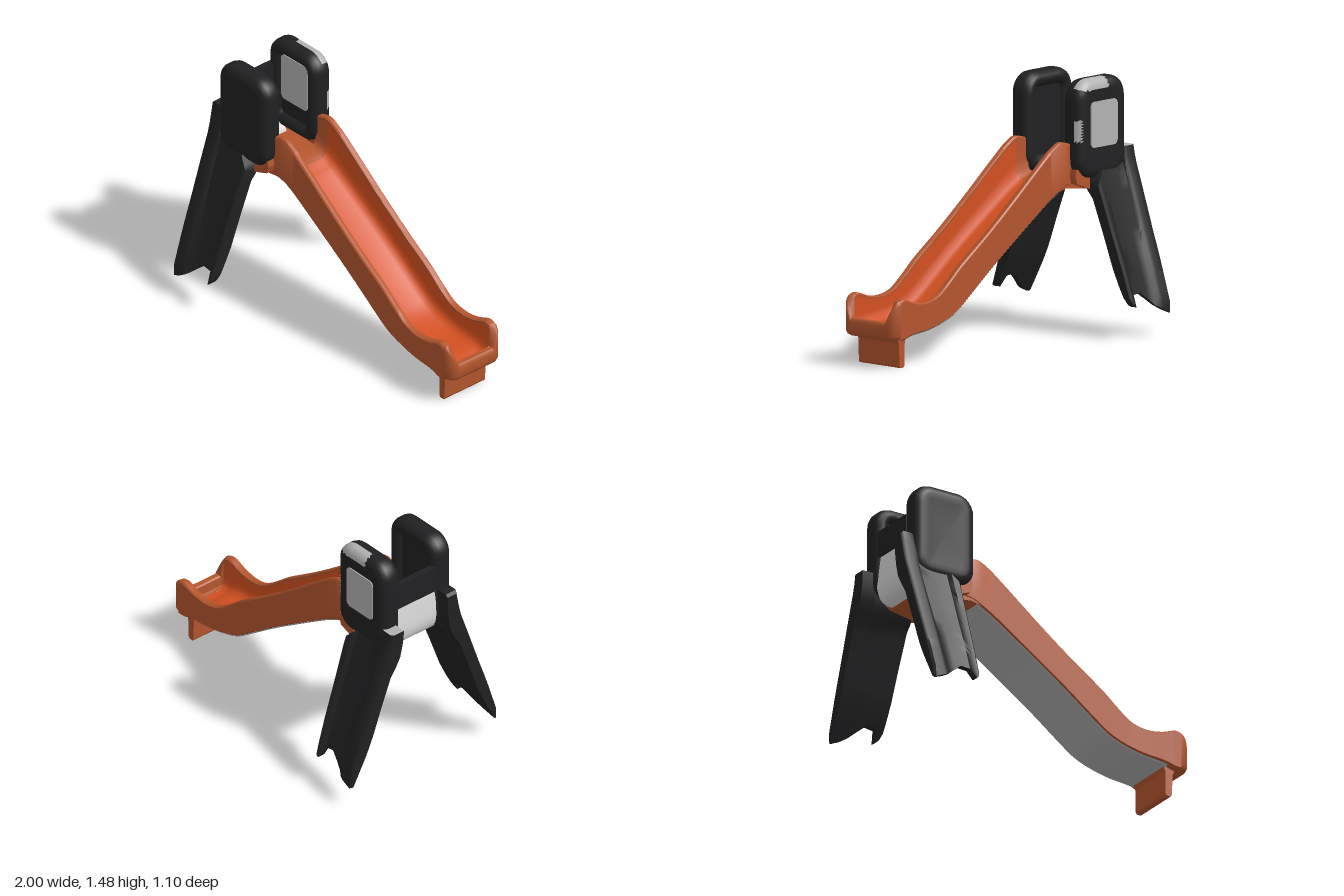
import * as THREE from 'three';
import { toCreasedNormals } from 'three/addons/utils/BufferGeometryUtils.js';

const material = (name, color) => Object.assign(new THREE.MeshStandardMaterial({ color }), { name });

// Skin between rows of [x, y, z] points; keep() may pick faces by their centre.
function surface(rows, flip = false, keep = () => true) {
  const pos = [];
  const add = (a, b, c) => {
    const m = a.map((v, k) => (v + b[k] + c[k]) / 3);
    if (keep(...m)) pos.push(...a, ...(flip ? c : b), ...(flip ? b : c));
  };
  for (let i = 0; i + 1 < rows.length; i++) {
    for (let j = 0; j + 1 < rows[i].length; j++) {
      const a = rows[i][j], b = rows[i][j + 1], c = rows[i + 1][j + 1], d = rows[i + 1][j];
      add(a, b, c);
      add(a, c, d);
    }
  }
  const g = new THREE.BufferGeometry();
  g.setAttribute('position', new THREE.Float32BufferAttribute(pos, 3));
  return toCreasedNormals(g, 0.7);
}

// Linear lookup in a table of [key, value] with rising keys.
function lookup(table, k) {
  let i = 1;
  while (i < table.length - 1 && table[i][0] < k) i++;
  const [[a, u], [b, v]] = [table[i - 1], table[i]];
  return u + (v - u) * THREE.MathUtils.clamp((k - a) / (b - a), 0, 1);
}

const vectors = (pts) => pts.map(([x, y]) => new THREE.Vector2(x, y));
const spline = (pts, n) => new THREE.SplineCurve(vectors(pts)).getPoints(n);

// Side outline extruded across the model from z0 to z1
const slab = (pts, z0, z1) => new THREE.ExtrudeGeometry(new THREE.Shape(vectors(pts)),
  { depth: z1 - z0, bevelEnabled: false }).translate(0, 0, z0);

function roundedRect(x0, y0, x1, y1, r) {
  const s = new THREE.Shape();
  s.moveTo(x0 + r, y0);
  s.lineTo(x1 - r, y0);
  s.absarc(x1 - r, y0 + r, r, -Math.PI / 2, 0);
  s.lineTo(x1, y1 - r);
  s.absarc(x1 - r, y1 - r, r, 0, Math.PI / 2);
  s.lineTo(x0 + r, y1);
  s.absarc(x0 + r, y1 - r, r, Math.PI / 2, Math.PI);
  s.lineTo(x0, y0 + r);
  s.absarc(x0 + r, y0 + r, r, Math.PI, Math.PI * 1.5);
  return s;
}

export function createModel() {
  const black = material('black plastic', 0x212123);
  const orange = material('orange plastic', 0xb4562e);
  const bright = material('bright chute orange', 0xd24f1f);
  const white = material('white panel', 0xdadada);
  const grey = material('grey plastic', 0xb2b2b2);

  const model = new THREE.Group();
  const add = (name, geometry, mat) => {
    const m = new THREE.Mesh(geometry, mat);
    m.name = name;
    model.add(m);
  };

  // Slide: paired top and bottom edge lines, swept as one trough section
  const N = 78;
  const top = spline([[-0.54, 1.11], [-0.45, 1.13], [-0.38, 1.1], [-0.3, 1.045], [0, 0.815],
    [0.2, 0.67], [0.4, 0.535], [0.5, 0.455], [0.6, 0.385], [0.7, 0.36], [0.8, 0.37],
    [0.89, 0.4], [0.93, 0.395]], N);
  const bottom = spline([[-0.54, 0.88], [-0.47, 0.865], [-0.4, 0.83], [-0.32, 0.785], [-0.05, 0.61],
    [0.15, 0.475], [0.35, 0.33], [0.45, 0.265], [0.56, 0.225], [0.68, 0.2], [0.82, 0.187],
    [0.89, 0.168], [0.93, 0.167]], N);
  const halfWidth = [[0.6, 0.19], [0.88, 0.2]];
  const sweep = (section, flip, keep) => surface(top.map((t, i) => {
    const b = bottom[i];
    // v runs from the bottom edge (0) to the top edge (1)
    return section(lookup(halfWidth, t.x), t.y - b.y).map(([z, v, dy = 0]) =>
      [b.x + (t.x - b.x) * v, b.y + (t.y - b.y) * v + dy, z]);
  }), flip, keep);

  for (const s of [1, -1]) {
    add(s > 0 ? 'frontSlideRail' : 'backSlideRail', sweep((w) =>
      [[s * 0.15, 0.9], [s * 0.15, 0.97], [s * 0.158, 1], [s * (w - 0.008), 1],
        [s * w, 0.96], [s * w, 0.04], [s * (w - 0.01), 0], [s * 0.12, 0]], s < 0), orange);
  }
  const trough = (w, h) => {
    const f = 0.04 / h;
    const half = [[0.1, f, -0.01], [0.13, f, 0], [0.146, f, 0.025], [0.15, f + 0.3], [0.15, 0.92]];
    return [...half.map(([z, ...r]) => [-z, ...r]).reverse(), [0, f, -0.014], ...half];
  };
  add('chute', sweep(trough, false, (x) => x > -0.44), bright);
  add('chuteEntry', sweep(trough, false, (x) => x <= -0.44), orange);
  add('slideUnderside', surface(bottom.filter((p) => p.x > -0.46 && p.x < 0.85).map((p) =>
    [[p.x, p.y, 0.182], [p.x, p.y - 0.009, 0.175], [p.x, p.y - 0.009, -0.175], [p.x, p.y, -0.182]])), grey);

  // Lower end: the rail wraps round both corners and drops to a low lip
  const endRows = [];
  for (const s of [1, -1]) {
    for (let i = 0; i <= 12; i++) {
      const a = (s > 0 ? i : 12 - i) / 12 * Math.PI / 2;
      const h = 0.27 + 0.125 * Math.cos(a);
      const at = (r, y) => [0.93 + r * Math.sin(a), y, s * (0.13 + r * Math.cos(a))];
      endRows.push([[0.925, 0.192, 0], at(0.02, 0.205), at(0.02, h - 0.008), at(0.028, h), at(0.058, h),
        at(0.067, h - 0.01), at(0.07, h - 0.025), at(0.07, 0.195), at(0.06, 0.175), at(0.045, 0.167), [0.925, 0.167, 0]]);
    }
  }
  add('endLip', surface(endRows), orange);

  // Foot under the lower end
  add('foot', slab([[0.853, 0.012], [0.86, 0], [0.888, 0], [0.895, 0.012], [0.9, 0.14], [0.915, 0.18],
    [0.835, 0.18], [0.85, 0.15]], -0.155, 0.155), orange);

  // Platform between the tower sides, with ears under them
  add('platform', slab([[-0.83, 0.885], [-0.8, 0.865], [-0.65, 0.84], [-0.49, 0.862], [-0.43, 0.85], [-0.45, 0.888]],
    -0.186, 0.186), orange);
  for (const z of [0.17, -0.235]) {
    add('platformEar', slab([[-0.64, 0.845], [-0.53, 0.885], [-0.515, 0.93], [-0.52, 0.97], [-0.64, 0.95]],
      z, z + 0.065), orange);
  }

  // Bulging white panel and crossbar across the entrance
  add('entrancePanel', toCreasedNormals(slab(spline([[-0.87, 1.17], [-0.86, 1.06], [-0.835, 0.96], [-0.79, 0.885],
    [-0.83, 0.865], [-0.885, 0.89], [-0.912, 0.96], [-0.91, 1.06], [-0.9, 1.17]], 32).map((p) => [p.x, p.y]),
  -0.15, 0.15), 0.7), white);
  add('crossbar', new THREE.BoxGeometry(0.04, 0.16, 0.32).translate(-0.895, 1.23, 0), black);

  // Tower sides: rings of [inset, z], dished on the inner face
  const rings = [[0.09, 0.165], [0.08, 0.15], [0.065, 0.137], [0.045, 0.13], [0.025, 0.137], [0.008, 0.155],
    [0, 0.18], [0, 0.205], [0, 0.225], [0.006, 0.242], [0.02, 0.257], [0.04, 0.267], [0.06, 0.27], [0.09, 0.268]];
  for (const s of [1, -1]) {
    const x0 = s > 0 ? -0.92 : -0.93, x1 = x0 + 0.41, cx = (x0 + x1) / 2;
    const zAt = (z) => (s > 0 ? z : 0.008 - z);
    const rows = rings.map(([d, z]) => roundedRect(x0 + d, 0.905 + d, x1 - d, 1.48 - d, 0.115 - d)
      .getSpacedPoints(96).map((p) => [p.x, p.y, zAt(z)]));
    const cap = (z) => rows[0].map(() => [cx, 1.19, zAt(z)]);
    const closed = [cap(0.165), ...rows, cap(0.268)];
    const isWorn = (x, y, z) => s < 0 && (
      (y > 1.42 && z < -0.2 && x > -0.77 && x < -0.54)
      || (x > -0.56 && y > 1.13 && y < 1.25 && z < -0.22 && z > -0.255));
    add(s > 0 ? 'frontTowerSide' : 'backTowerSide', surface(closed, s < 0, (...p) => !isWorn(...p)), black);
    if (s < 0) add('backTowerPatch', surface(closed, true, isWorn), grey);
  }

  // Pale insets on both faces of the back tower side
  for (const [y0, y1, z] of [[1.085, 1.35, -0.266], [1.09, 1.385, -0.16]]) {
    add('towerInset', new THREE.ExtrudeGeometry(roundedRect(-0.84, y0, -0.615, y1, 0.03),
      { depth: 0.008, bevelEnabled: false }).translate(0, 0, z), grey);
  }

  // Splayed legs: thin sheets with raised edges and a ragged lower end
  const outerZ = [[0.12, 0.55], [0.18, 0.55], [0.4, 0.478], [0.6, 0.405], [0.8, 0.335], [0.98, 0.27], [1.15, 0.235]];
  const innerZ = [[0.12, 0.535], [0.3, 0.44], [0.4, 0.395], [0.6, 0.325], [0.8, 0.25], [0.85, 0.2], [0.98, 0.17], [1.15, 0.16]];
  // Columns: top x, bottom x, top y, bottom y, recess of the outer face
  const columns = [[-1, -0.983, 1.14, 0.13, 0.012], [-0.985, -0.97, 1.155, 0.125, 0], [-0.93, -0.915, 1.155, 0.15, 0],
    [-0.915, -0.89, 1.15, 0.165, 0.004], [-0.9, -0.865, 0.97, 0.18, 0.022], [-0.83, -0.82, 0.96, 0.22, 0.024],
    [-0.76, -0.77, 0.96, 0.26, 0.024], [-0.71, -0.71, 0.95, 0.255, 0.022], [-0.69, -0.69, 0.94, 0.19, 0.002],
    [-0.65, -0.675, 0.9, 0.2, 0], [-0.638, -0.66, 0.87, 0.24, 0.012]];
  for (const s of [1, -1]) {
    const rows = [];
    const steps = 16;
    for (let i = -1; i <= steps + 1; i++) {
      const t = THREE.MathUtils.clamp(i / steps, 0, 1);
      const isCap = i < 0 || i > steps;
      const pts = columns.map(([xt, xb, yTop, yb, recess]) => {
        const yt = s > 0 ? yTop : Math.min(yTop, 1.06);
        const y = yt + (yb - yt) * t;
        const zi = lookup(innerZ, y);
        const zo = Math.max(lookup(outerZ, y) - recess, zi + 0.006);
        const mid = (zi + zo) / 2;
        return { x: xt + (xb - xt) * t, y, zo: isCap ? mid : zo, zi: isCap ? mid : zi };
      });
      const outer = pts.map((p) => [p.x, p.y, s * p.zo]);
      const inner = pts.map((p) => [p.x, p.y, s * p.zi]).reverse();
      rows.push([...outer, ...inner, outer[0]]);
    }
    const isTop = (x, y) => s < 0 && y > 1.055;
    add(s > 0 ? 'frontLeg' : 'backLeg', surface(rows, s > 0, (...p) => !isTop(...p)), black);
    if (s < 0) add('backLegTop', surface(rows, false, isTop), grey);
  }

  return model;
}
